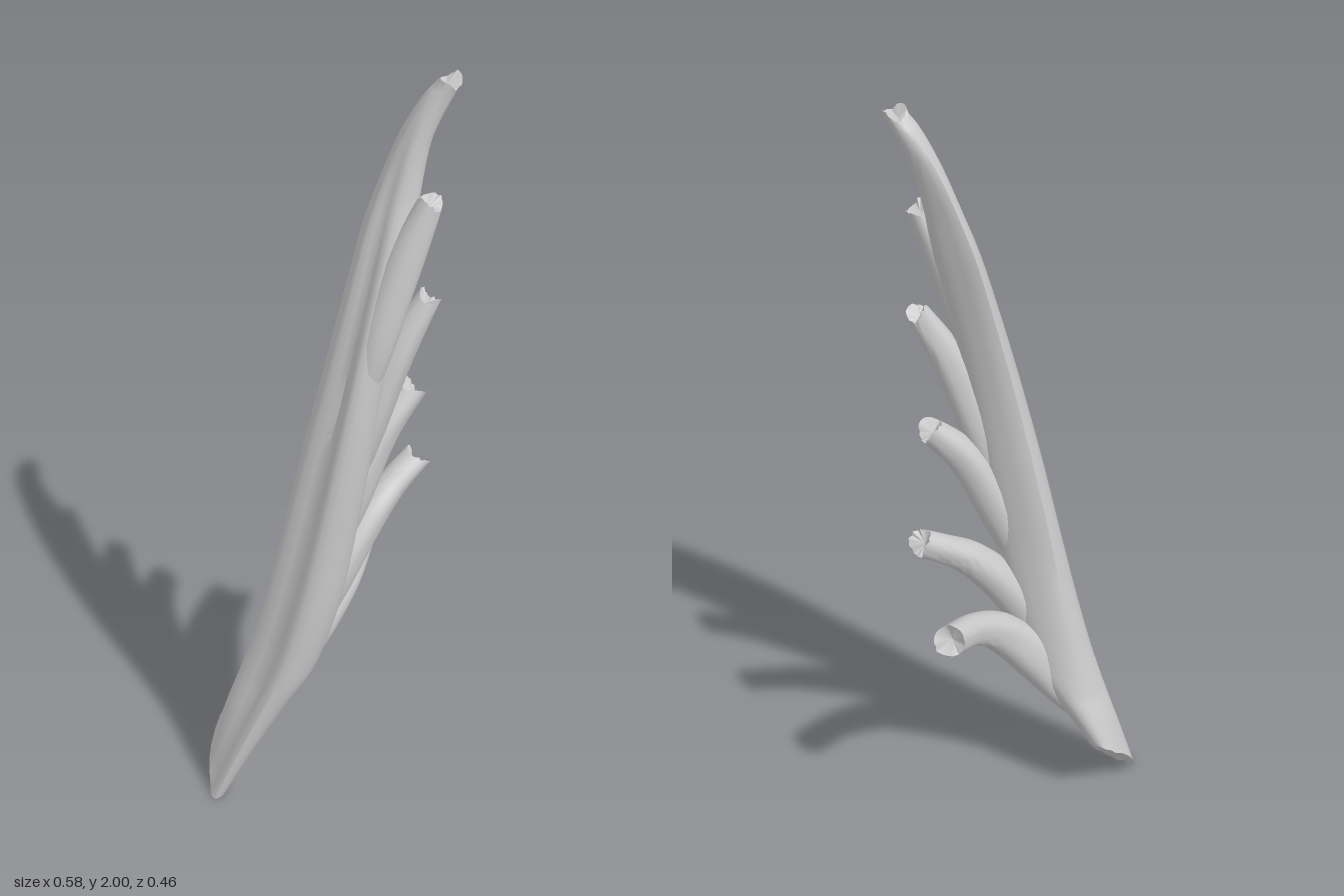
import * as THREE from 'three';
import { toCreasedNormals } from 'three/addons/utils/BufferGeometryUtils.js';

const SIDES = 24;
const material = new THREE.MeshStandardMaterial({ color: 0xcccccc, side: THREE.DoubleSide });

// small seeded noise, -0.5 to 0.5
let seed = 7;
const noise = () => {
  seed = (seed * 16807) % 2147483647;
  return seed / 2147483647 - 0.5;
};
const clamp01 = n => THREE.MathUtils.clamp(n, 0, 1);
const bump = (a, centre, width) => Math.exp(-(((a - centre) / width) ** 2));

// Loft of elliptical rings through stations [x, y, z, halfWidth, halfDepth],
// lightly ridged along its length, with a ragged, hollowed broken tip.
// shape(point, angle, k, centre) can adjust each ring vertex.
function limb(name, stations, { level = false, ridge = 0.04, jag = 0.009, cup = 0.015, shape } = {}) {
  const path = new THREE.CatmullRomCurve3(stations.map(s => new THREE.Vector3(s[0], s[1], s[2])));
  const sizes = new THREE.CatmullRomCurve3(stations.map(s => new THREE.Vector3(s[3], s[4], 0)));
  const rows = (stations.length - 1) * 4;
  const phase = noise() * 6;
  const pos = [], index = [];
  const Z = new THREE.Vector3(0, 0, 1);
  for (let i = 0; i <= rows; i++) {
    const k = i / rows;
    const c = path.getPoint(k), size = sizes.getPoint(k);
    const t = level ? new THREE.Vector3(0, 1, 0) : path.getTangent(k);
    const u = new THREE.Vector3().crossVectors(t, Z).normalize();
    const v = new THREE.Vector3().crossVectors(u, t);
    for (let j = 0; j < SIDES; j++) {
      const a = (j / SIDES) * Math.PI * 2;
      const r = 1 + ridge * (Math.cos(3 * a + phase + 2 * k) + 0.5 * Math.cos(5 * a + phase));
      const p = c.clone()
        .addScaledVector(u, Math.cos(a) * size.x * r)
        .addScaledVector(v, Math.sin(a) * size.y * r);
      if (shape) shape(p, a, k, c);
      if (i === rows) p.addScaledVector(t, jag * (Math.sin(2 * a + phase) + noise()));
      pos.push(p.x, Math.max(0, p.y), p.z);
    }
  }
  for (let i = 0; i < rows; i++) {
    for (let j = 0; j < SIDES; j++) {
      const n = (j + 1) % SIDES;
      const a = i * SIDES + j, b = i * SIDES + n;
      index.push(a, a + SIDES, b, b, a + SIDES, b + SIDES);
    }
  }
  // end caps: root centred on its ring, tip hollowed
  const root = new THREE.Vector3();
  for (let j = 0; j < SIDES; j++) {
    root.add(new THREE.Vector3(pos[j * 3], pos[j * 3 + 1], pos[j * 3 + 2]).divideScalar(SIDES));
  }
  const tip = path.getPoint(1).addScaledVector(path.getTangent(1), -cup);
  const rootId = pos.length / 3;
  pos.push(root.x, root.y, root.z, tip.x, tip.y, tip.z);
  for (let j = 0; j < SIDES; j++) {
    const n = (j + 1) % SIDES, top = rows * SIDES;
    index.push(rootId, j, n, rootId + 1, top + n, top + j);
  }
  const geo = new THREE.BufferGeometry();
  geo.setAttribute('position', new THREE.Float32BufferAttribute(pos, 3));
  geo.setIndex(index);
  const mesh = new THREE.Mesh(toCreasedNormals(geo, 0.75), material);
  mesh.name = name;
  return mesh;
}

// Stem detail: base split off on a slant, outer front corner flattened,
// outer back corner filled out
function shapeStem(p, a, k, c) {
  const rise = Math.max(0, 0.215 - p.z) * 1.05 * clamp01(1 - c.y / 0.42);
  const ragged = k === 0 && p.z < 0.2 ? Math.abs(noise()) * 0.03 : 0;
  const flat = 0.042 * bump(a, 2.36, 0.5) * clamp01(0.3 + 3 * k) * clamp01(2.7 - 3 * k);
  const fill = 0.034 * bump(a, 3.93, 0.5) * clamp01(4 * k - 0.8) * clamp01(4.2 - 4.4 * k);
  p.y += rise + ragged;
  p.x += rise * 0.22 + (flat - fill) * 0.71;
  p.z -= (flat + fill) * 0.71;
}

export function createModel() {
  const group = new THREE.Group();
  group.name = 'brokenBranch';

  // main stem: y, left and right edge in x, back and front edge in z
  const stem = [
    [0, -0.305, -0.228, 0.032, 0.234],
    [0.1, -0.278, -0.178, 0.028, 0.236],
    [0.2, -0.25, -0.125, 0.027, 0.236],
    [0.3, -0.22, -0.07, 0.029, 0.234],
    [0.4, -0.19, -0.015, 0.033, 0.231],
    [0.6, -0.137, 0.045, 0.042, 0.225],
    [0.8, -0.092, 0.08, 0.05, 0.215],
    [1.0, -0.05, 0.11, 0.05, 0.205],
    [1.2, -0.005, 0.135, 0.047, 0.19],
    [1.4, 0.04, 0.165, 0.035, 0.16],
    [1.6, 0.085, 0.2, 0.016, 0.112],
    [1.72, 0.12, 0.212, 0.004, 0.078],
    [1.85, 0.165, 0.235, -0.012, 0.055],
    [1.95, 0.215, 0.278, -0.02, 0.042],
    [1.985, 0.243, 0.295, -0.02, 0.04],
  ].map(([y, x0, x1, z0, z1]) =>
    [(x0 + x1) / 2, y, (z0 + z1) / 2, (x1 - x0) / 2, (z1 - z0) / 2]);
  group.add(limb('mainStem', stem, { level: true, ridge: 0.015, shape: shapeStem }));

  // side branches from the top down, each growing out of the stem's core
  const branches = [
    [[0.06, 1.1, 0.13, 0.02, 0.03], [0.123, 1.36, 0.117, 0.045, 0.053], [0.18, 1.56, 0.092, 0.043, 0.047], [0.235, 1.71, 0.072, 0.029, 0.035]],
    [[0.02, 0.8, 0.12, 0.02, 0.03], [0.1, 1.1, 0.098, 0.045, 0.052], [0.168, 1.3, 0.078, 0.041, 0.043], [0.237, 1.44, 0.052, 0.027, 0.028]],
    [[-0.02, 0.62, 0.13, 0.02, 0.03], [0.06, 0.88, 0.088, 0.048, 0.052], [0.13, 1.05, 0.045, 0.042, 0.043], [0.2, 1.145, 0, 0.032, 0.033]],
    [[-0.09, 0.36, 0.13, 0.02, 0.03], [0.01, 0.61, 0.085, 0.05, 0.055], [0.1, 0.765, 0.01, 0.042, 0.045], [0.155, 0.83, -0.045, 0.036, 0.036], [0.205, 0.875, -0.09, 0.034, 0.034]],
    [[-0.18, 0.22, 0.14, 0.015, 0.03], [-0.13, 0.3, 0.115, 0.04, 0.06], [-0.045, 0.44, 0.07, 0.058, 0.06], [0.03, 0.56, 0, 0.05, 0.05], [0.075, 0.64, -0.1, 0.038, 0.04], [0.108, 0.685, -0.21, 0.042, 0.038]],
  ];
  branches.forEach((stations, i) => group.add(limb(`sideBranch${i + 1}`, stations)));
  return group;
}
